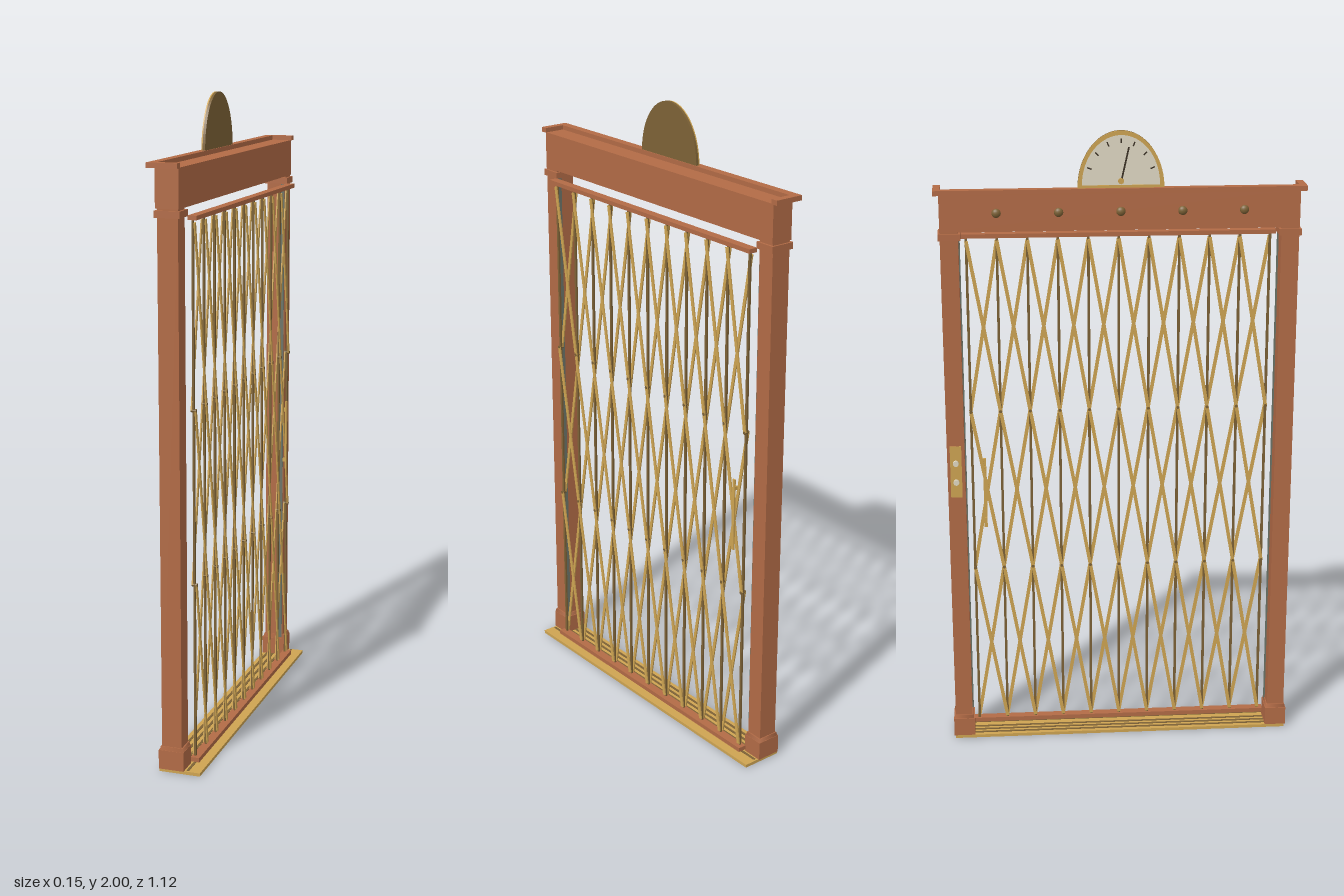
import * as THREE from 'three';

const mat = (name, color) => {
  const m = new THREE.MeshStandardMaterial({ color });
  m.name = name;
  return m;
};

export function createModel() {
  const wood = mat('red wood', 0xb26b46);
  const brass = mat('brass', 0xcea452);
  const bronze = mat('dark bronze', 0x7d6236);
  const steel = mat('grey steel', 0x6c7468);
  const dark = mat('dark pointer', 0x3a3022);
  const pale = mat('pale ivory', 0xe0d9c4);

  const model = new THREE.Group();
  model.name = 'liftGate';

  const add = (name, geo, material, parent = model) => {
    const mesh = new THREE.Mesh(geo, material);
    mesh.name = name;
    parent.add(mesh);
    return mesh;
  };
  // Box given by its lower and upper limits on each axis
  const box = (name, m, x0, x1, y0, y1, z0, z1, parent) => {
    const mesh = add(name, new THREE.BoxGeometry(x1 - x0, y1 - y0, z1 - z0), m, parent);
    mesh.position.set((x0 + x1) / 2, (y0 + y1) / 2, (z0 + z1) / 2);
    return mesh;
  };

  // Grooved threshold plate
  box('sill', brass, -0.058, 0.072, 0, 0.01, -0.547, 0.547);
  for (const x of [-0.04, -0.02, 0, 0.031]) {
    box('sillGroove', bronze, x - 0.004, x + 0.004, 0.009, 0.0115, -0.54, 0.54);
  }

  // Posts with base and cap blocks
  for (const s of [-1, 1]) {
    const post = new THREE.Group();
    post.name = s > 0 ? 'leftPost' : 'rightPost';
    model.add(post);
    const block = (name, m, x0, x1, y0, y1, za, zb) =>
      box(name, m, x0, x1, y0, y1, Math.min(s * za, s * zb), Math.max(s * za, s * zb), post);
    block('postShaft', wood, -0.049, 0.014, 0.06, 1.7, 0.49, 0.545);
    block('postBase', wood, -0.058, 0.021, 0.01, 0.07, 0.483, 0.551);
    block('postCap', wood, -0.057, 0.021, 1.675, 1.695, 0.483, 0.551);
    block('guideChannel', steel, 0.0, 0.011, 0.07, 1.675, 0.486, 0.491);
    // Sloped top of the base block
    const slope = add('postBaseSlope', new THREE.CylinderGeometry(0.707, 0.76, 1, 4, 1).rotateY(Math.PI / 4), wood, post);
    slope.scale.set(0.07, 0.012, 0.06);
    slope.position.set(-0.0175, 0.076, s * 0.5175);
  }

  // Lintel and the three-sided moulding around its top
  box('lintel', wood, -0.055, 0.016, 1.7, 1.816, -0.545, 0.545);
  box('corniceLong', wood, -0.075, -0.048, 1.815, 1.83, -0.562, 0.562);
  for (const s of [-1, 1]) {
    box('corniceEnd', wood, -0.048, 0.019, 1.815, 1.83, Math.min(s * 0.54, s * 0.562), Math.max(s * 0.54, s * 0.562));
  }

  // Round studs along the lintel
  for (let i = -2; i <= 2; i++) {
    const stud = add('lintelStud', new THREE.SphereGeometry(0.014, 16, 10), bronze);
    stud.scale.x = 0.7;
    stud.position.set(-0.056, 1.757, i * 0.187);
  }

  // Floor indicator: half-oval plate, raised rim, face, ticks and needle
  const dial = new THREE.Group();
  dial.name = 'floorIndicator';
  dial.position.set(-0.051, 1.828, 0);
  dial.rotation.y = -Math.PI / 2;
  model.add(dial);
  const arch = (rx, ry, y0, T = THREE.Shape) => {
    const p = new T();
    p.moveTo(rx, y0);
    p.absellipse(0, y0, rx, ry, 0, Math.PI, false);
    p.lineTo(rx, y0);
    return p;
  };
  const plate = (shape, depth) => new THREE.ExtrudeGeometry(shape, { depth, bevelEnabled: false, curveSegments: 32 });
  add('dialPlate', plate(arch(0.13, 0.172, 0), 0.008), bronze, dial);
  const rim = arch(0.13, 0.172, 0);
  rim.holes.push(arch(0.117, 0.149, 0.01, THREE.Path));
  add('dialRim', plate(rim, 0.004), brass, dial).position.z = 0.008;
  add('dialFace', plate(arch(0.117, 0.149, 0.01), 0.0015), pale, dial).position.z = 0.008;
  for (let i = 1; i < 8; i++) {
    const a = Math.PI * i / 8;
    const tick = add('dialTick', new THREE.BoxGeometry(0.014, 0.004, 0.002), dark, dial);
    tick.position.set(0.102 * Math.cos(a), 0.01 + 0.132 * Math.sin(a), 0.0095);
    tick.rotation.z = a;
  }
  const needle = add('dialNeedle', new THREE.BoxGeometry(0.005, 0.105, 0.002), dark, dial);
  needle.position.set(0.012, 0.072, 0.0115);
  needle.rotation.z = -0.22;
  const hub = add('needleHub', new THREE.CylinderGeometry(0.009, 0.009, 0.006, 16).rotateX(Math.PI / 2), brass, dial);
  hub.position.set(0, 0.022, 0.012);

  // Folding gate: rails, uprights and crossed slats
  const gate = new THREE.Group();
  gate.name = 'foldingGate';
  gate.position.x = 0.002;
  model.add(gate);
  box('topRail', wood, 0.018, 0.046, 1.664, 1.677, -0.485, 0.485, gate);
  box('bottomRail', wood, 0.018, 0.046, 0.016, 0.03, -0.485, 0.485, gate);
  const step = 0.0935, levels = [0.035, 0.575, 1.107, 1.655];
  for (let i = -5; i <= 5; i++) {
    const z = i * step;
    box('upright', bronze, 0.025, 0.031, 0.03, 1.665, z - 0.004, z + 0.004, gate);
    for (const y of levels.slice(1, 3)) {
      const rivet = add('rivet', new THREE.CylinderGeometry(0.005, 0.005, 0.018, 10).rotateZ(Math.PI / 2), bronze, gate);
      rivet.position.set(0.028, y, z);
    }
    if (i === 5) continue;
    for (let t = 0; t < 3; t++) {
      const h = levels[t + 1] - levels[t];
      for (const s of [-1, 1]) {
        const slat = add('slat', new THREE.BoxGeometry(0.004, Math.hypot(h, step), 0.011), brass, gate);
        slat.position.set(s > 0 ? 0.034 : 0.022, (levels[t] + levels[t + 1]) / 2, z + step / 2);
        slat.rotation.x = s * Math.atan2(step, h);
      }
    }
  }

  // Pull handle on the gate
  box('pullHandle', brass, 0.036, 0.041, 0.71, 0.945, -0.434, -0.424, gate);
  for (const y of [0.74, 0.915]) box('handleMount', brass, 0.028, 0.038, y - 0.006, y + 0.006, -0.434, -0.424, gate);

  // Call plate with two buttons on the right post
  box('callPlate', brass, -0.053, -0.048, 0.85, 1.02, -0.536, -0.5);
  for (const y of [0.902, 0.965]) {
    const button = add('callButton', new THREE.CylinderGeometry(0.009, 0.009, 0.01, 16).rotateZ(Math.PI / 2), pale);
    button.position.set(-0.057, y, -0.518);
  }
  return model;
}
